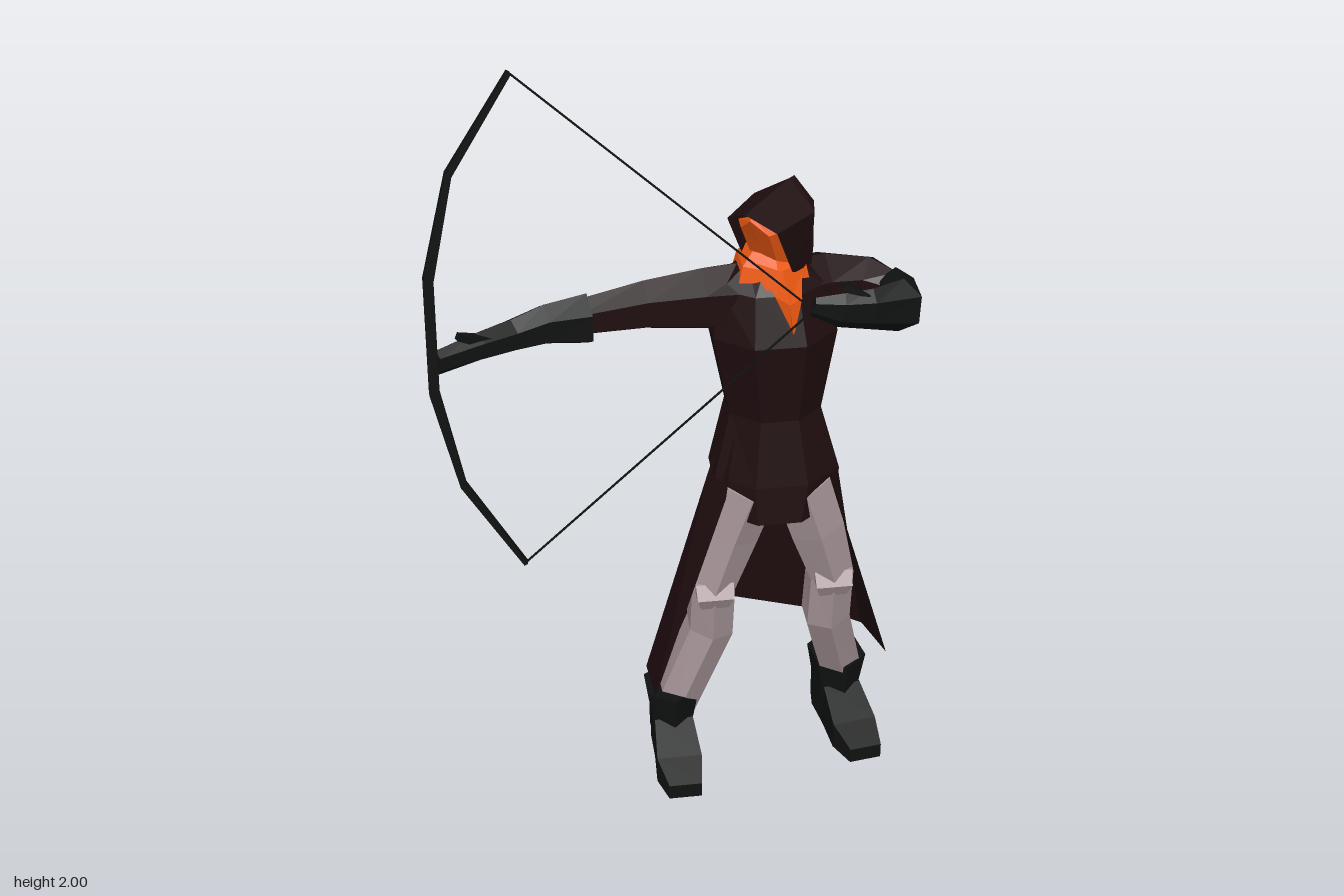
import * as THREE from 'three';

const V = (a) => new THREE.Vector3(...a);
const paint = (color) => new THREE.MeshStandardMaterial({ color, flatShading: true, side: THREE.DoubleSide });

// Skin a list of rings (arrays of Vector3), with optional closing and end caps
function skin(rings, closed = true, caps = true) {
  const pos = [];
  const tri = (...p) => p.forEach((v) => pos.push(v.x, v.y, v.z));
  const n = rings[0].length;
  for (let i = 0; i < rings.length - 1; i++) {
    for (let j = 0; j < (closed ? n : n - 1); j++) {
      const k = (j + 1) % n;
      const a = rings[i][j], b = rings[i][k], c = rings[i + 1][k], d = rings[i + 1][j];
      tri(a, b, d);
      tri(b, c, d);
    }
  }
  const cap = (ring, flip) => {
    const mid = ring.reduce((s, p) => s.add(p), new THREE.Vector3()).divideScalar(n);
    ring.forEach((p, j) => {
      const q = ring[(j + 1) % n];
      flip ? tri(mid, q, p) : tri(mid, p, q);
    });
  };
  if (closed && caps) {
    cap(rings[0], true);
    cap(rings[rings.length - 1], false);
  }
  const g = new THREE.BufferGeometry();
  g.setAttribute('position', new THREE.Float32BufferAttribute(pos, 3));
  g.computeVertexNormals();
  return g;
}

// Faceted limb through sections [x, y, z, sideRadius, upRadius]
function limb(sections, n, up, dir) {
  const c = sections.map((s) => V(s.slice(0, 3)));
  const rings = sections.map(([, , , a, b], i) => {
    const t = dir ? V(dir) : c[Math.min(i + 1, c.length - 1)].clone().sub(c[Math.max(i - 1, 0)]).normalize();
    const u = V(up).cross(t).normalize();
    const v = t.clone().cross(u);
    const k = 1 / Math.cos(Math.PI / n);
    return Array.from({ length: n }, (_, j) => {
      const th = ((j + 0.5) / n) * Math.PI * 2;
      return c[i].clone().addScaledVector(u, a * k * Math.cos(th)).addScaledVector(v, b * k * Math.sin(th));
    });
  });
  return skin(rings);
}

export function createModel() {
  const model = new THREE.Group();
  const coat = paint(0x1f0d0f), black = paint(0x101211), cloth = paint(0xa8969a), orange = paint(0xf05a12);
  const add = (name, geometry, material, parent = model) => {
    const m = new THREE.Mesh(geometry, material);
    m.name = name;
    parent.add(m);
    return m;
  };
  const X = [1, 0, 0], Y = [0, 1, 0], Z = [0, 0, 1];

  // Coat body, from front hem to neck
  add('coatBody', limb([
    [0.25, 0.77, 0.05, 0.13, 0.105],
    [0.255, 0.87, 0.03, 0.155, 0.115],
    [0.25, 1.04, 0.02, 0.112, 0.1],
    [0.245, 1.25, 0.012, 0.15, 0.125],
    [0.24, 1.37, 0.012, 0.125, 0.09],
    [0.24, 1.43, 0.01, 0.06, 0.055],
  ], 8, Z, Y), coat);

  // Open coat skirt, wrapping round the back
  const row = (pts) => pts.map(V);
  add('coatSkirt', skin([
    row([[0.15, 1, 0.08], [0.135, 1, 0.02], [0.17, 1, -0.06], [0.24, 1, -0.09], [0.32, 1, -0.07], [0.365, 1, 0], [0.35, 1, 0.08]]),
    row([[0.12, 0.84, 0.13], [0.09, 0.85, 0.03], [0.14, 0.85, -0.08], [0.23, 0.85, -0.12], [0.33, 0.85, -0.1], [0.42, 0.85, 0], [0.39, 0.84, 0.11]]),
    row([[-0.055, 0.26, 0.135], [-0.06, 0.26, 0], [0, 0.27, -0.09], [0.205, 0.29, -0.235], [0.44, 0.27, -0.165], [0.53, 0.265, -0.1], [0.567, 0.26, 0.03]]),
  ], false), coat);

  // Legs, knee pads and boots
  const legs = [
    { side: 'right', hip: [0.185, 0.84, 0.06], knee: [0.1, 0.55, 0.055], ankle: [0.015, 0.15, 0], yaw: 0 },
    { side: 'left', hip: [0.315, 0.84, 0.06], knee: [0.405, 0.55, 0.04], ankle: [0.47, 0.15, -0.08], yaw: 0.15 },
  ];
  for (const { side, hip, knee, ankle, yaw } of legs) {
    add(side + 'Leg', limb([
      [...ankle, 0.052, 0.055],
      [knee[0], knee[1] - 0.15, knee[2] - 0.025, 0.056, 0.055],
      [...knee, 0.055, 0.055],
      [(hip[0] + knee[0]) / 2, 0.7, 0.05, 0.067, 0.07],
      [...hip, 0.07, 0.075],
    ], 6, Z), cloth);
    add(side + 'KneePad', limb([
      [knee[0], knee[1] - 0.05, knee[2] + 0.04, 0.035, 0.012],
      [knee[0], knee[1] - 0.015, knee[2] + 0.045, 0.046, 0.024],
      [knee[0], knee[1] + 0.02, knee[2] + 0.035, 0.048, 0.012],
    ], 4, Z, Y), cloth);

    const boot = new THREE.Group();
    boot.name = side + 'Boot';
    add('shaft', limb([[0, 0.04, -0.01, 0.05, 0.065], [0, 0.11, 0, 0.052, 0.065], [0, 0.2, 0, 0.066, 0.076]], 6, Z, Y), black, boot);
    add('foot', limb([
      [0, 0.055, -0.085, 0.036, 0.045],
      [0, 0.06, -0.04, 0.048, 0.06],
      [0, 0.06, 0.05, 0.05, 0.06],
      [0, 0.036, 0.15, 0.058, 0.036],
      [0.005, 0.02, 0.225, 0.042, 0.02],
    ], 4, Y, Z), black, boot);
    boot.position.set(ankle[0] - 0.01, 0, ankle[2]);
    boot.rotation.y = yaw;
    model.add(boot);
  }

  // Outstretched bow arm
  add('rightSleeve', limb([
    [0.22, 1.33, 0, 0.085, 0.075],
    [0.08, 1.325, 0, 0.07, 0.07],
    [-0.06, 1.32, 0.0, 0.055, 0.055],
    [-0.23, 1.31, 0.025, 0.038, 0.04],
  ], 6, Y), coat);
  add('rightGlove', limb([
    [-0.2, 1.31, 0.03, 0.056, 0.057],
    [-0.3, 1.31, 0.045, 0.042, 0.045],
    [-0.38, 1.3, 0.07, 0.034, 0.036],
    [-0.46, 1.3, 0.11, 0.028, 0.032],
    [-0.56, 1.295, 0.165, 0.014, 0.028],
  ], 6, Y), black);
  add('rightThumb', limb([[-0.44, 1.31, 0.11, 0.014, 0.014], [-0.51, 1.345, 0.14, 0.008, 0.008]], 4, Y), black);

  // Folded drawing arm
  add('leftSleeve', limb([
    [0.28, 1.33, -0.01, 0.09, 0.07],
    [0.38, 1.335, -0.03, 0.08, 0.062],
    [0.48, 1.335, -0.015, 0.062, 0.055],
    [0.535, 1.33, 0.04, 0.035, 0.045],
  ], 6, Y), coat);
  add('leftGlove', limb([
    [0.535, 1.33, 0.04, 0.045, 0.056],
    [0.535, 1.33, 0.11, 0.05, 0.058],
    [0.45, 1.345, 0.145, 0.026, 0.045],
    [0.38, 1.355, 0.16, 0.018, 0.038],
    [0.31, 1.375, 0.17, 0.01, 0.02],
  ], 6, Y), black);
  add('leftThumb', limb([[0.44, 1.375, 0.145, 0.014, 0.014], [0.385, 1.415, 0.15, 0.007, 0.007]], 4, Y), black);

  // Hood turned towards the bow; rings slant from the crown down to the jaw
  const hood = new THREE.Group();
  hood.name = 'hood';
  hood.position.set(0.25, 0, 0.015);
  hood.rotation.y = -Math.PI / 4;
  model.add(hood);
  const hoodRing = (low, mid, top) => row([
    [low[0], low[1], low[2]], [mid[0], mid[1], mid[2]], [0, top[0], top[1]],
    [-mid[0], mid[1], mid[2]], [-low[0], low[1], low[2]],
  ]);
  add('hoodShell', skin([
    hoodRing([0.04, 1.43, -0.1], [0.05, 1.56, -0.08], [1.615, -0.07]),
    hoodRing([0.075, 1.42, -0.04], [0.085, 1.56, -0.03], [1.615, -0.05]),
    hoodRing([0.07, 1.42, 0.03], [0.07, 1.55, 0.1], [1.59, 0.13]),
  ], true, false), coat, hood);
  add('hoodBack', skin([
    hoodRing([0.04, 1.43, -0.1], [0.05, 1.56, -0.08], [1.615, -0.07]),
    hoodRing([0.02, 1.44, -0.108], [0.02, 1.55, -0.09], [1.6, -0.078]),
  ]), coat, hood);
  add('faceMask', skin([
    hoodRing([0.06, 1.42, 0], [0.06, 1.54, 0.07], [1.575, 0.1]),
    hoodRing([0.035, 1.42, 0.035], [0.04, 1.53, 0.088], [1.565, 0.108]),
  ]), orange, hood);

  // Scarf round the neck with a hanging point
  add('scarf', limb([[0.24, 1.385, 0.01, 0.085, 0.085], [0.24, 1.43, 0.01, 0.075, 0.075], [0.24, 1.46, 0.01, 0.05, 0.05]], 6, Z, Y), orange);
  add('scarfPoint', skin([
    row([[0.19, 1.46, 0.1], [0.25, 1.44, 0.115], [0.3, 1.42, 0.08]]),
    row([[0.23, 1.38, 0.12], [0.26, 1.37, 0.147], [0.295, 1.37, 0.12]]),
    row([[0.268, 1.3, 0.148], [0.27, 1.295, 0.155], [0.275, 1.3, 0.148]]),
  ], false), orange);

  // Bow and drawn string
  const tips = [[-0.375, 0.735, 0.178], [-0.375, 2, 0.178]];
  add('bow', limb([
    [...tips[0], 0.005, 0.011],
    [-0.515, 0.97, 0.178, 0.008, 0.011],
    [-0.571, 1.225, 0.178, 0.012, 0.012],
    [-0.571, 1.515, 0.178, 0.012, 0.012],
    [-0.515, 1.77, 0.178, 0.008, 0.011],
    [...tips[1], 0.005, 0.011],
  ], 4, Z), black);
  for (const tip of tips) {
    add('bowString', limb([[...tip, 0.002, 0.002], [0.31, 1.37, 0.178, 0.002, 0.002]], 4, Z), black);
  }
  return model;
}
